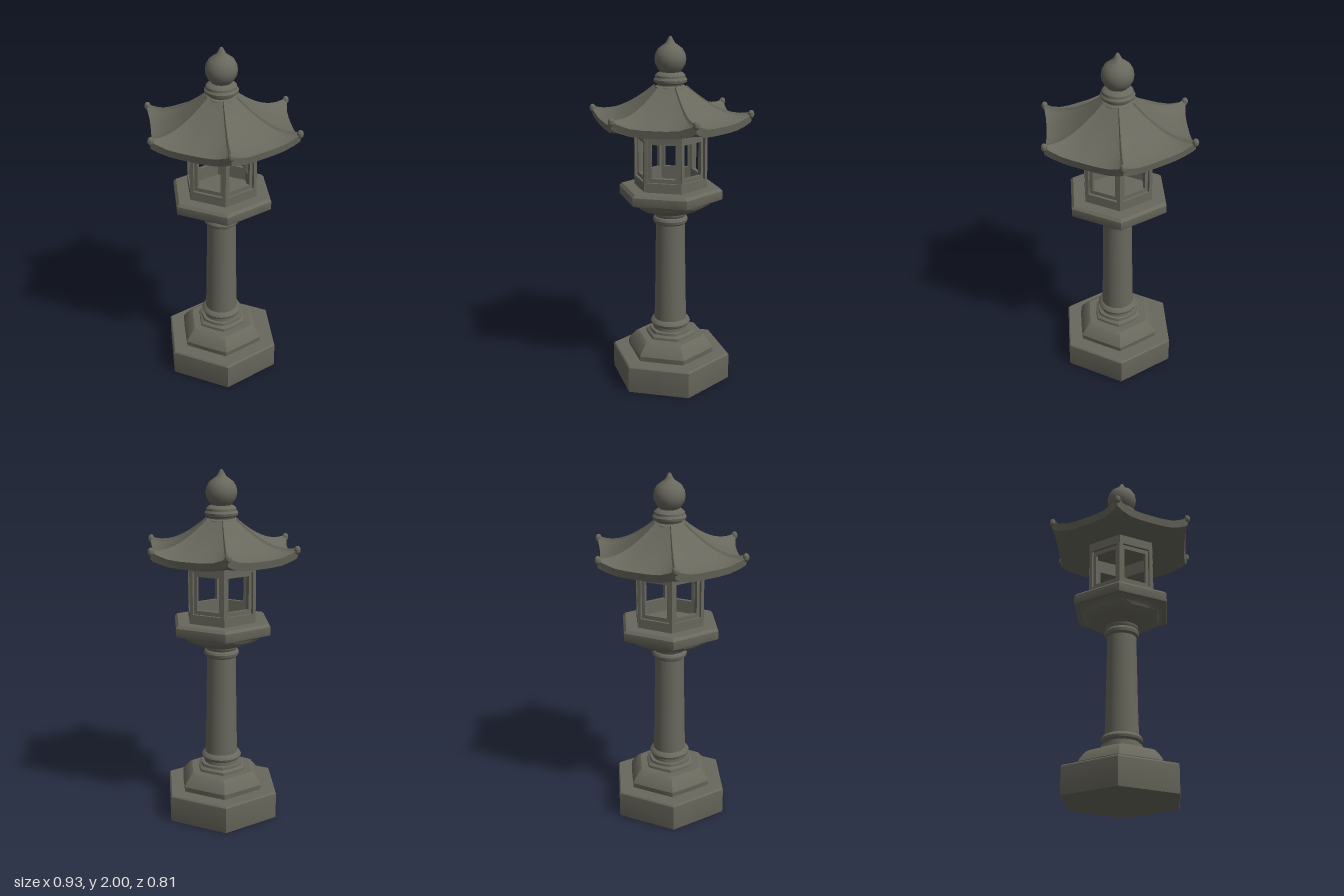
import * as THREE from 'three';
import { toCreasedNormals } from 'three/addons/utils/BufferGeometryUtils.js';

const stone = new THREE.MeshStandardMaterial({ color: 0x69685d });
stone.name = 'weathered stone';

function part(group, name, geometry, crease = 0.55) {
  const mesh = new THREE.Mesh(toCreasedNormals(geometry, crease), stone);
  mesh.name = name;
  group.add(mesh);
  return mesh;
}

// Turned profile of [radius, y, hex]: hex 1 is a hexagon with corners on x, hex 0 a circle
function turned(profile) {
  const points = profile.map(([r, y]) => new THREE.Vector2(r, y));
  const geometry = new THREE.LatheGeometry(points, 36);
  const pos = geometry.attributes.position;
  const sixth = Math.PI / 3;
  for (let i = 0; i < pos.count; i++) {
    const hex = profile[i % profile.length][2] ?? 0;
    const angle = Math.atan2(pos.getZ(i), pos.getX(i)) + 2 * Math.PI + 1e-5;
    const f = Math.cos(sixth / 2) / Math.cos((angle % sixth) - sixth / 2);
    const k = THREE.MathUtils.lerp(1, f, hex);
    pos.setXYZ(i, pos.getX(i) * k, pos.getY(i), pos.getZ(i) * k);
  }
  return geometry;
}

// Wall frame: rectangle with a rectangular opening, both [halfWidth, bottom, top]
function frame(outer, inner, depth) {
  const rect = (P, [w, b, t]) => {
    const p = new P();
    p.moveTo(-w, b).lineTo(w, b).lineTo(w, t).lineTo(-w, t).closePath();
    return p;
  };
  // moveTo and lineTo return the path, so the outline can be chained
  const shape = rect(THREE.Shape, outer);
  shape.holes.push(rect(THREE.Path, inner));
  return new THREE.ExtrudeGeometry(shape, { depth, bevelEnabled: false });
}

// Six curved roof sectors, each a grid from the neck over the eave and back underneath
function roofGeometry() {
  const across = [-1, -0.94, -0.86, -0.6, -0.3, 0, 0.3, 0.6, 0.86, 0.94, 1];
  const rows = [];
  for (let i = 0; i <= 10; i++) {
    const u = i / 10;
    rows.push(s => ({
      r: 0.09 + 0.37 * u, u,
      y: 1.55 + 0.18 * (1 - u) ** 1.7 + 0.05 * s ** 4 * u ** 3 + (Math.abs(s) === 1 ? 0.008 : 0),
    }));
  }
  for (const [r, u, lift] of [[0.45, 1, 0.04], [0.40, 0.9, 0.015], [0.32, 0.6, 0], [0.2, 0, 0], [0, 0, 0]]) {
    rows.push(s => ({ r, u, y: 1.508 + lift * s ** 4 }));
  }
  const vertices = [], index = [];
  for (let k = 0; k < 6; k++) {
    const a = k * Math.PI / 3, b = a + Math.PI / 3;
    const start = vertices.length / 3;
    for (const row of rows) {
      for (const s of across) {
        const { r, u, y } = row(s);
        const m = (1 - s) / 2, n = (1 + s) / 2;
        const k2 = r * (1 - 0.045 * u * (1 - s ** 4));
        vertices.push(k2 * (m * Math.cos(a) + n * Math.cos(b)), y, k2 * (m * Math.sin(a) + n * Math.sin(b)));
      }
    }
    const w = across.length;
    for (let i = 0; i < rows.length - 1; i++) {
      for (let j = 0; j < w - 1; j++) {
        const p = start + i * w + j;
        index.push(p, p + 1, p + w, p + 1, p + w + 1, p + w);
      }
    }
  }
  const geometry = new THREE.BufferGeometry();
  geometry.setAttribute('position', new THREE.Float32BufferAttribute(vertices, 3));
  geometry.setIndex(index);
  return geometry;
}

export function createModel() {
  const lantern = new THREE.Group();
  lantern.name = 'stoneLantern';

  // Stepped foot
  part(lantern, 'base', turned([[0, 0, 1], [0.35, 0, 1], [0.353, 0.01, 1], [0.353, 0.152, 1], [0.345, 0.16, 1], [0, 0.16, 1]]));
  part(lantern, 'plinth', turned([[0.255, 0.155, 1], [0.258, 0.19, 0.9], [0.245, 0.212, 0.9],
    [0.212, 0.25, 0.9], [0.195, 0.26, 0.9], [0, 0.26, 1]]));
  part(lantern, 'plinthStep', turned([[0.148, 0.255, 0.8], [0.146, 0.275, 0.8], [0.125, 0.285, 0.5],
    [0.122, 0.3, 0.4], [0, 0.31, 0]]));

  // Column with rings at both ends
  part(lantern, 'column', turned([[0.1, 0.295], [0.098, 0.32], [0.112, 0.33], [0.116, 0.342], [0.108, 0.356],
    [0.094, 0.364], [0.09, 0.5], [0.083, 0.93], [0.083, 0.945], [0.096, 0.955], [0.1, 0.972],
    [0.094, 0.985], [0.086, 0.99], [0.094, 1.003], [0.094, 1.03]]));

  // Spreading bowl and platform
  part(lantern, 'bowl', turned([[0, 1.005], [0.095, 1.01, 0], [0.13, 1.022, 0.1], [0.18, 1.04, 0.3],
    [0.225, 1.065, 0.6], [0.24, 1.085, 0.8], [0.268, 1.1, 1], [0.268, 1.11, 1]]));
  part(lantern, 'platform', turned([[0, 1.1, 1], [0.298, 1.1, 1], [0.301, 1.106, 1], [0.301, 1.15, 1],
    [0.285, 1.165, 1], [0, 1.165, 1]]));

  // Open light chamber with a stepped window on each side
  const chamber = new THREE.Group();
  chamber.name = 'lightChamber';
  lantern.add(chamber);
  for (let k = 0; k < 6; k++) {
    const side = new THREE.Group();
    side.name = 'chamberWall';
    side.rotation.y = k * Math.PI / 3;
    chamber.add(side);
    part(side, 'wall', frame([0.106, 1.16, 1.512], [0.086, 1.218, 1.455], 0.016)).position.z = 0.167;
    part(side, 'windowFrame', frame([0.095, 1.16, 1.512], [0.068, 1.24, 1.43], 0.02)).position.z = 0.148;
  }

  // Roof with upturned corners
  part(lantern, 'roof', roofGeometry(), 0.5);
  for (let k = 0; k < 6; k++) {
    const a = k * Math.PI / 3;
    const tip = part(lantern, 'roofTip', new THREE.SphereGeometry(0.018, 10, 8));
    tip.scale.y = 1.3;
    tip.position.set(0.449 * Math.cos(a), 1.59, 0.449 * Math.sin(a));
  }

  // Ringed neck and pointed ball
  part(lantern, 'neck', turned([[0.095, 1.7], [0.085, 1.728], [0.07, 1.735], [0.074, 1.744], [0.09, 1.752],
    [0.093, 1.766], [0.084, 1.778], [0.083, 1.79], [0.07, 1.802], [0.04, 1.81]]));
  part(lantern, 'finial', turned([[0.045, 1.798], [0.068, 1.823], [0.083, 1.85], [0.087, 1.877], [0.082, 1.905],
    [0.067, 1.932], [0.043, 1.95], [0.026, 1.962], [0.017, 1.978], [0.008, 1.995], [0, 2]]));

  return lantern;
}
